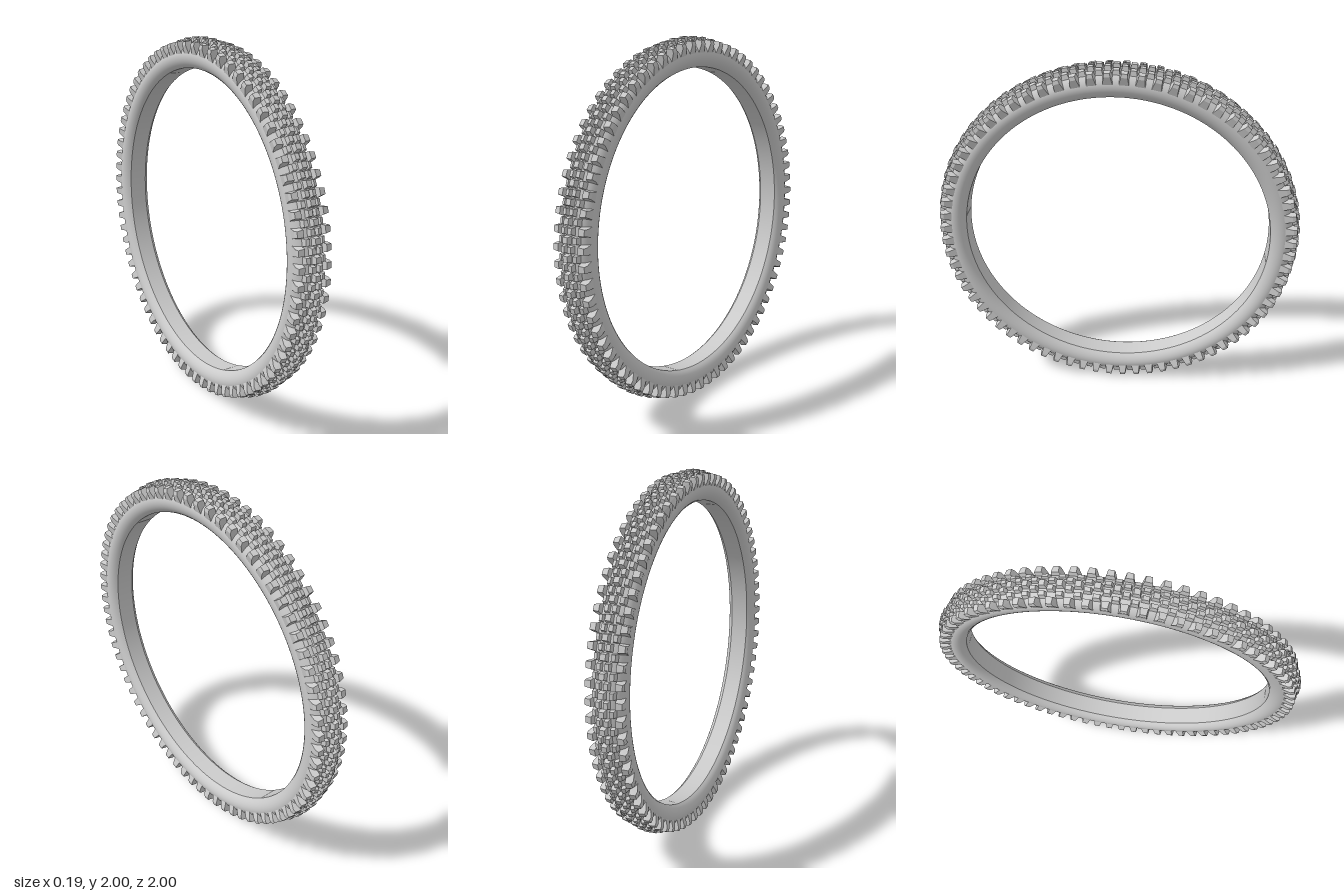
import * as THREE from 'three';
import { mergeGeometries } from 'three/addons/utils/BufferGeometryUtils.js';

const PITCHES = 72;          // tread pattern repeats around the tyre
const CORE_R = 0.9;          // radius of the carcass section's centre
const HALF_W = 0.085, HALF_H = 0.075;

const material = new THREE.MeshStandardMaterial({ color: 0xcccccc });

// Lathe spins around y; turn it so the axle lies along x
function ring(points, name) {
  const geo = new THREE.LatheGeometry(points, 144);
  geo.rotateZ(-Math.PI / 2);
  const mesh = new THREE.Mesh(geo, material.clone());
  mesh.material.side = THREE.DoubleSide;
  mesh.name = name;
  return mesh;
}

// One knob: profile in the (x, radius) plane, extruded along the tread, tapering outwards
function knob(profile, length) {
  const shape = new THREE.Shape(profile.map(([x, r]) => new THREE.Vector2(x, r)));
  const geo = new THREE.ExtrudeGeometry(shape, { depth: length, bevelEnabled: false });
  geo.translate(0, 0, -length / 2);
  const p = geo.attributes.position;
  for (let i = 0; i < p.count; i++) {
    const d = Math.hypot(p.getX(i) / HALF_W, (p.getY(i) - CORE_R) / HALF_H);
    p.setZ(i, p.getZ(i) * THREE.MathUtils.mapLinear(d, 0.95, 1.35, 1.15, 0.8));
  }
  geo.computeVertexNormals();
  return geo;
}

// Repeat knobs around the tyre; phase is in pitches
function knobRow(name, profiles, length, phase) {
  const parts = [];
  for (const profile of profiles) {
    const base = knob(profile, length);
    for (let i = 0; i < PITCHES; i++) {
      parts.push(base.clone().rotateX(((i + phase) / PITCHES) * Math.PI * 2));
    }
  }
  const mesh = new THREE.Mesh(mergeGeometries(parts), material);
  mesh.name = name;
  return mesh;
}

const bothSides = (profile) => [profile, profile.map(([x, r]) => [-x, r])];

export function createModel() {
  const tyre = new THREE.Group();
  tyre.name = 'tyre';

  // Rounded carcass, open at the bottom between the two beads
  const section = [];
  const start = Math.asin(-0.06 / HALF_H);
  for (let i = 0; i <= 32; i++) {
    const a = start + ((Math.PI - 2 * start) * i) / 32;
    section.push(new THREE.Vector2(CORE_R + HALF_H * Math.sin(a), HALF_W * Math.cos(a)));
  }
  tyre.add(ring(section, 'carcass'));

  // Flat inner band joining the beads
  const bead = section[0];
  tyre.add(ring([new THREE.Vector2(bead.x, -bead.y), bead.clone()], 'innerBand'));

  // Centre knobs: single blocks alternating with pairs
  tyre.add(knobRow('centreKnobs',
    [[[-0.017, 0.965], [-0.014, 1.0], [0.014, 1.0], [0.017, 0.965]]], 0.036, 0));
  tyre.add(knobRow('centrePairKnobs',
    bothSides([[0.008, 0.965], [0.01, 0.996], [0.03, 0.993], [0.034, 0.96]]), 0.034, 0.5));

  // Transition knobs between centre and shoulder
  tyre.add(knobRow('transitionKnobs',
    bothSides([[0.031, 0.955], [0.035, 0.987], [0.053, 0.981], [0.058, 0.945]]), 0.034, 0));

  // Shoulder knobs reaching down the sidewall
  tyre.add(knobRow('shoulderKnobs',
    bothSides([[0.056, 0.945], [0.062, 0.982], [0.094, 0.977], [0.097, 0.958], [0.083, 0.915], [0.07, 0.92]]),
    0.044, 0.5));

  tyre.position.y = 1;
  const model = new THREE.Group();
  model.name = 'bicycleTyre';
  model.add(tyre);
  return model;
}
